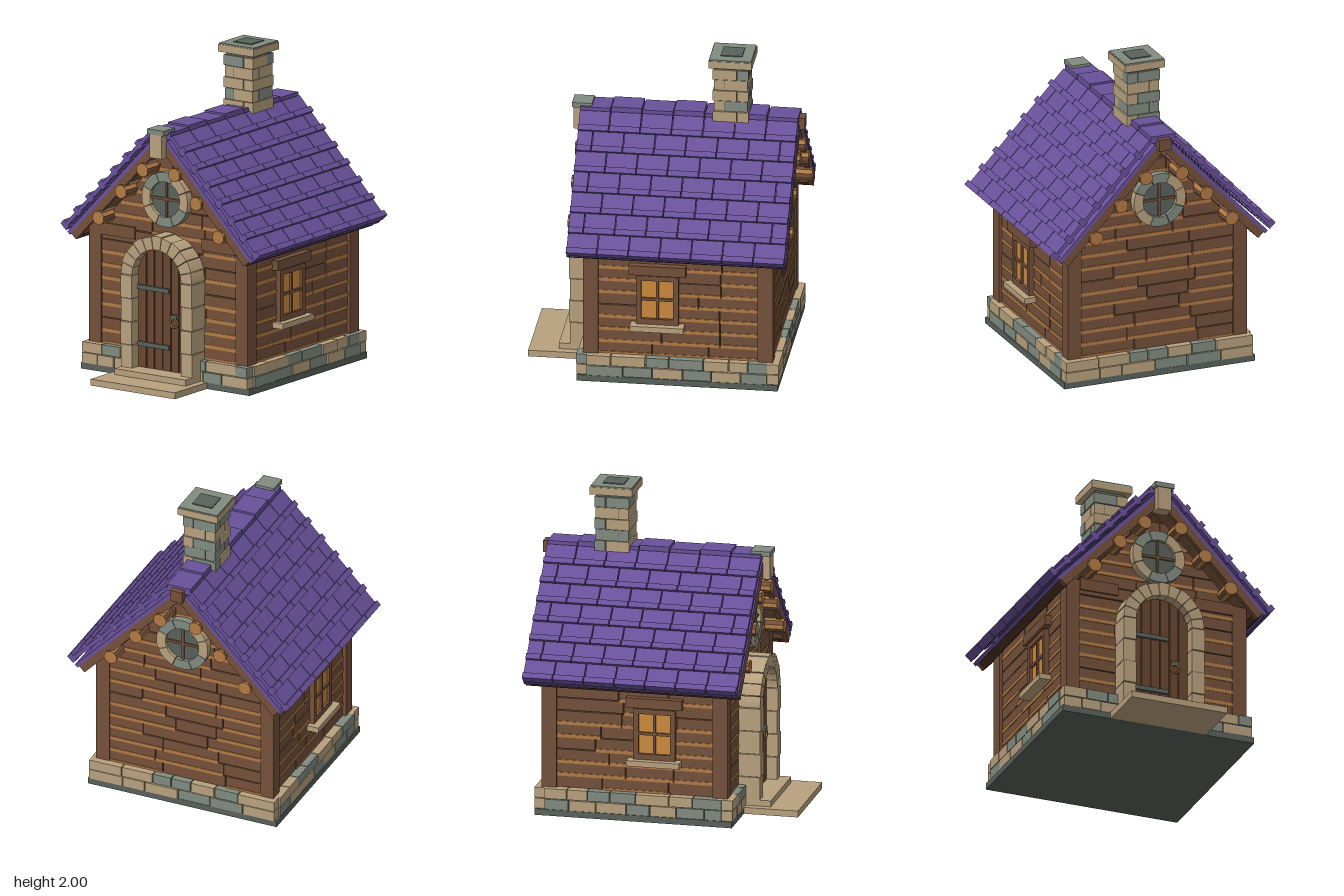
import * as THREE from 'three';
import { mergeGeometries } from 'three/addons/utils/BufferGeometryUtils.js';

const mat = (name, color) => Object.assign(new THREE.MeshStandardMaterial({ color }), { name });

export function createModel() {
  const M = {
    wood: mat('brown wood', 0x74503a), light: mat('light wood', 0xb27a44),
    dark: mat('dark wood', 0x4a3022), door: mat('door wood', 0x68452f),
    tile: mat('purple tile', 0x69519a), sand: mat('sand stone', 0xb8a17e),
    grey: mat('grey stone', 0x818b80), slate: mat('dark slate', 0x59615b),
    amber: mat('amber glass', 0xcc8a3e), brass: mat('brass', 0x8a6a3c),
  };
  const model = new THREE.Group();
  let seed = 11;
  const rnd = () => (seed = (seed * 16807) % 2147483647) / 2147483647;

  // Box from minimum and maximum corners
  const box = (x0, x1, y0, y1, z0, z1) =>
    new THREE.BoxGeometry(x1 - x0, y1 - y0, z1 - z0)
      .translate((x0 + x1) / 2, (y0 + y1) / 2, (z0 + z1) / 2);
  const add = (name, material, geos) => {
    const list = [geos].flat();
    if (!list.length) return;
    const mesh = new THREE.Mesh(list.length > 1 ? mergeGeometries(list) : list[0], material);
    mesh.name = name;
    model.add(mesh);
  };
  const both = (x0, x1, ...r) => [box(x0, x1, ...r), box(-x1, -x0, ...r)];
  const ZC = -0.1275; // middle of the house along z

  // Foundation and steps
  add('foundation', M.slate, box(-0.64, 0.64, 0, 0.04, -0.755, 0.5));
  add('lowerStep', M.sand, box(-0.32, 0.32, 0.001, 0.042, 0.45, 0.845));
  add('upperStep', M.sand, box(-0.27, 0.27, 0.042, 0.08, 0.45, 0.66));

  // Two courses of stones on each side
  const stones = { sand: [], grey: [] };
  const sides = [[0, 0.63, 0.625], [Math.PI, 0.63, 0.625], [Math.PI / 2, 0.565, 0.63], [-Math.PI / 2, 0.565, 0.63]];
  for (const [turn, half, out] of sides) {
    for (let c = 0; c < 2; c++) {
      for (let x = -half; x < half - 0.01;) {
        let end = x + 0.12 + rnd() * 0.11;
        if (end > half - 0.08) end = half;
        const d = out + rnd() * 0.008;
        stones[rnd() < 0.55 ? 'sand' : 'grey'].push(
          box(x, end - 0.006, 0.04 + c * 0.069, 0.104 + c * 0.069, out - 0.09, d)
            .rotateY(turn).translate(0, 0, ZC));
        x = end;
      }
    }
  }
  add('sandFootingStones', M.sand, stones.sand);
  add('greyFootingStones', M.grey, stones.grey);

  // Walls with gables as one core
  const core = new THREE.Shape([[-0.56, 0.04], [0.56, 0.04], [0.56, 0.9], [0, 1.485], [-0.56, 0.9]]
    .map(p => new THREE.Vector2(...p)));
  add('wallCore', M.dark, new THREE.ExtrudeGeometry(core, { depth: 1.12, bevelEnabled: false }).translate(0, 0, -0.687));

  // Horizontal planks, trimmed to the gable slope, with light edges at the joints
  const planks = [], edges = [], pitch = 0.083;
  const trim = (g, limit) => {
    const p = g.attributes.position;
    for (let i = 0; i < p.count; i++) {
      const l = limit(p.getY(i));
      p.setX(i, Math.max(-l, Math.min(l, p.getX(i))));
    }
    return g;
  };
  const planking = (half, rows, limit, place) => {
    for (let r = 0; r < rows; r++) {
      const y = 0.175 + r * pitch, w = Math.min(half, limit(y));
      const first = -w + (0.2 + 0.25 * rnd()) * w * 2;
      const cuts = [-w, first, first + (w - first) * (0.45 + 0.2 * rnd()), w];
      for (let i = 0; i < 3; i++) {
        const a = cuts[i] + 0.003, b = cuts[i + 1] - 0.003;
        planks.push(place(trim(box(a, b, y, y + pitch - 0.006, -0.02, 0.02 + rnd() * 0.004), limit)));
        if (rnd() < 0.75) edges.push(place(trim(box(a, b, y - 0.011, y + 0.011, -0.02, 0.026), limit)));
      }
    }
  };
  const gable = y => Math.max(0, (1.48 - y) * 0.955);
  planking(0.515, 15, gable, g => g.translate(0, 0, 0.433));
  planking(0.515, 15, gable, g => g.rotateY(Math.PI).translate(0, 0, -0.688));
  for (const s of [1, -1])
    planking(0.5, 9, () => 9, g => g.rotateY(s * Math.PI / 2).translate(s * 0.56, 0, ZC));
  add('wallPlanks', M.wood, planks);
  add('plankEdges', M.light, edges);

  // Corner posts and tie beams
  add('cornerPosts', M.wood, [...both(0.51, 0.602, 0.175, 0.93, 0.37, 0.465), ...both(0.51, 0.602, 0.175, 0.93, -0.72, -0.625)]);
  add('tieBeams', M.wood, both(0.255, 0.51, 0.865, 0.94, 0.4, 0.468));

  // Roof: slope coordinates run s down from the ridge, n out from the underside
  const angle = Math.atan2(0.665, 0.635), L = 0.6825;
  const onRoof = (g, side) => {
    g.rotateZ(-angle);
    if (side < 0) g.rotateY(Math.PI);
    return g.translate(0, 1.5, ZC);
  };
  const tiles = [], deck = [], boards = [], barge = [], fascia = [];
  for (const side of [1, -1]) {
    const put = (...b) => onRoof(box(...b), side);
    deck.push(put(0, 0.94, 0.05, 0.075, -L, L));
    boards.push(put(0, 0.92, 0.035, 0.05, -L + 0.03, L - 0.03));
    fascia.push(put(0.885, 0.925, 0, 0.05, -L + 0.03, L - 0.03));
    for (const z of [-L, L - 0.03]) barge.push(put(0, 0.925, 0, 0.05, z, z + 0.03));
    for (let r = 0; r < 7; r++) {
      const s = r * 0.135, w = 0.195;
      for (let k = 0; k < 8; k++) {
        const a = Math.max(-L, -L + (k - (r % 2) / 2) * w), b = Math.min(L, -L + (k + 1 - (r % 2) / 2) * w);
        if (b - a < 0.02) continue;
        tiles.push(put(s, s + 0.135, 0.1, 0.124, a + 0.003, b - 0.003));
        tiles.push(put(s + 0.098, s + 0.135, 0.09, 0.145, a + 0.003, b - 0.003));
      }
    }
  }
  add('roofDeck', M.tile, deck);
  add('roofUnderside', M.wood, boards);
  add('bargeBoards', M.wood, barge);
  add('eaveBoards', M.dark, fascia);
  add('roofTiles', M.tile, tiles);
  add('ridgeTiles', M.tile, Array.from({ length: 7 }, (_, i) =>
    box(-0.08, 0.08, 1.56, 1.605 + (i % 2) * 0.01, -0.81 + i * 0.195 + 0.003, -0.618 + i * 0.195)));
  add('ridgeBeam', M.wood, box(-0.04, 0.04, 1.515, 1.59, -0.845, 0.55));
  add('gableKeystone', M.sand, box(-0.045, 0.045, 1.44, 1.59, 0.52, 0.6));
  add('keystoneCap', M.grey, box(-0.063, 0.063, 1.59, 1.622, 0.48, 0.606));

  // Ten-sided purlins with alternating bark facets
  for (const [x, y] of [[0.12, 1.345], [0.285, 1.185], [0.455, 0.995]]) {
    for (const s of [1, -1]) {
      const g = new THREE.CylinderGeometry(0.044, 0.044, 1.405, 10).toNonIndexed();
      g.computeVertexNormals();
      g.clearGroups();
      for (let i = 0; i < 10; i++) g.addGroup(i * 6, 6, i % 2);
      g.addGroup(60, 60, 1);
      g.rotateX(Math.PI / 2).translate(s * x, y, ZC);
      add('purlin', [M.wood, M.light], g);
    }
  }

  // Chimney
  const chim = { sand: [], grey: [] };
  for (let c = 0; c < 6; c++) {
    const y = 1.5 + c * 0.0705, split = c % 2 ? 0.04 : -0.04;
    const h = 0.105 + (c % 2) * 0.006;
    for (const [a, b, k] of [[-h, split - 0.002, 0], [split + 0.002, h, 1]])
      for (const [za, zb, j] of [[-h, -split - 0.002, 0], [-split + 0.002, h, 1]]) {
        const kind = c === 2 || c === 5 ? (k + j === 2 ? 'sand' : 'grey') : (k + j === 0 && c % 2 ? 'grey' : 'sand');
        chim[kind].push(box(a, b, y, y + 0.066, za - 0.39, zb - 0.39));
      }
  }
  add('chimneySandStones', M.sand, chim.sand);
  add('chimneyGreyStones', M.grey, chim.grey);
  add('chimneyCore', M.slate, box(-0.1, 0.1, 1.45, 1.94, -0.49, -0.29));
  add('chimneyCap', M.sand, box(-0.135, 0.135, 1.938, 1.985, -0.525, -0.255));
  add('chimneyTop', M.grey, box(-0.131, 0.131, 1.98, 1.994, -0.521, -0.259));
  add('flue', M.slate, box(-0.067, 0.067, 1.985, 2, -0.457, -0.323));

  // Wedge of a stone ring
  const wedge = (r0, r1, a0, a1, depth) => {
    const s = new THREE.Shape();
    s.absarc(0, 0, r1, a0, a1, false);
    s.absarc(0, 0, r0, a1, a0, true);
    return new THREE.ExtrudeGeometry(s, { depth, bevelEnabled: false, curveSegments: 2 });
  };

  // Door surround: jamb blocks and arch stones
  const spring = 0.67, surround = [];
  for (let i = 0; i < 4; i++)
    surround.push(...both(0.186, 0.27, 0.08 + i * 0.1475, 0.2235 + i * 0.1475, 0.45, 0.59 + (i % 2) * 0.006)
      .map(g => g.toNonIndexed()));
  for (let i = 0; i < 11; i++)
    surround.push(wedge(0.186, 0.268 + (i % 2) * 0.005, i * Math.PI / 11 + 0.008, (i + 1) * Math.PI / 11 - 0.008, 0.14)
      .translate(0, spring, 0.452));
  add('doorSurround', M.sand, surround);

  // Door leaf: planks cut to the arch
  const leaf = [];
  for (let i = 0; i < 6; i++) {
    const a = -0.186 + i * 0.062 + 0.003, b = a + 0.056;
    const top = x => spring + Math.sqrt(Math.max(0, 0.187 ** 2 - x * x));
    const pts = [[a, 0.08], [b, 0.08], [b, top(b)], [(a + b) / 2, top((a + b) / 2)], [a, top(a)]];
    leaf.push(new THREE.ExtrudeGeometry(new THREE.Shape(pts.map(p => new THREE.Vector2(...p))),
      { depth: 0.035, bevelEnabled: false }).translate(0, 0, 0.49));
  }
  add('doorPlanks', M.door, leaf);
  add('doorBacking', M.dark, [box(-0.186, 0.186, 0.08, spring, 0.45, 0.507).toNonIndexed(),
    wedge(0, 0.186, 0, Math.PI, 0.057).translate(0, spring, 0.45)]);
  add('doorHinges', M.slate, [0.23, 0.59].map(y => box(-0.182, 0.055, y - 0.014, y + 0.014, 0.52, 0.54)));
  add('latchPlate', M.slate, box(0.07, 0.12, 0.42, 0.445, 0.52, 0.545));
  add('doorRing', M.brass, new THREE.TorusGeometry(0.028, 0.007, 6, 16).translate(0.095, 0.395, 0.54));

  // Round gable windows, front and back
  for (const [z, turn] of [[0.45, 0], [-0.705, Math.PI]]) {
    const place = g => g.rotateY(turn).translate(0, 1.16, z);
    const ring = { sand: [], grey: [] };
    for (let i = 0; i < 8; i++) {
      const a = (i - 0.5) * Math.PI / 4;
      ring[i % 4 === 2 || i % 4 === 3 ? 'grey' : 'sand'].push(place(wedge(0.113, 0.174, a + 0.012, a + Math.PI / 4 - 0.012, 0.055)));
    }
    add('roundWindowSandStones', M.sand, ring.sand);
    add('roundWindowGreyStones', M.grey, ring.grey);
    add('roundWindowPane', M.slate, place(new THREE.CylinderGeometry(0.116, 0.116, 0.03, 24).rotateX(Math.PI / 2).translate(0, 0, 0.016)));
    add('roundWindowBars', M.wood, [place(box(-0.115, 0.115, -0.008, 0.008, 0.02, 0.042)), place(box(-0.008, 0.008, -0.115, 0.115, 0.02, 0.042))]);
  }

  // Side windows
  for (const s of [1, -1]) {
    const place = g => g.rotateY(s * Math.PI / 2);
    add('windowFrame', M.wood, [
      box(-0.133, 0.133, 0.69, 0.722, 0.55, 0.615), box(-0.133, 0.133, 0.395, 0.433, 0.55, 0.615),
      box(-0.133, -0.1, 0.433, 0.69, 0.55, 0.615), box(0.1, 0.133, 0.433, 0.69, 0.55, 0.615),
      box(-0.009, 0.009, 0.433, 0.69, 0.55, 0.61), box(-0.1, 0.1, 0.553, 0.571, 0.55, 0.61)].map(place));
    add('windowPane', M.amber, place(box(-0.101, 0.101, 0.432, 0.691, 0.588, 0.597)));
    add('windowLintel', M.wood, place(box(-0.178, 0.178, 0.73, 0.793, 0.55, 0.628)));
    add('windowSill', M.sand, place(box(-0.168, 0.168, 0.36, 0.396, 0.55, 0.658)));
  }
  return model;
}
